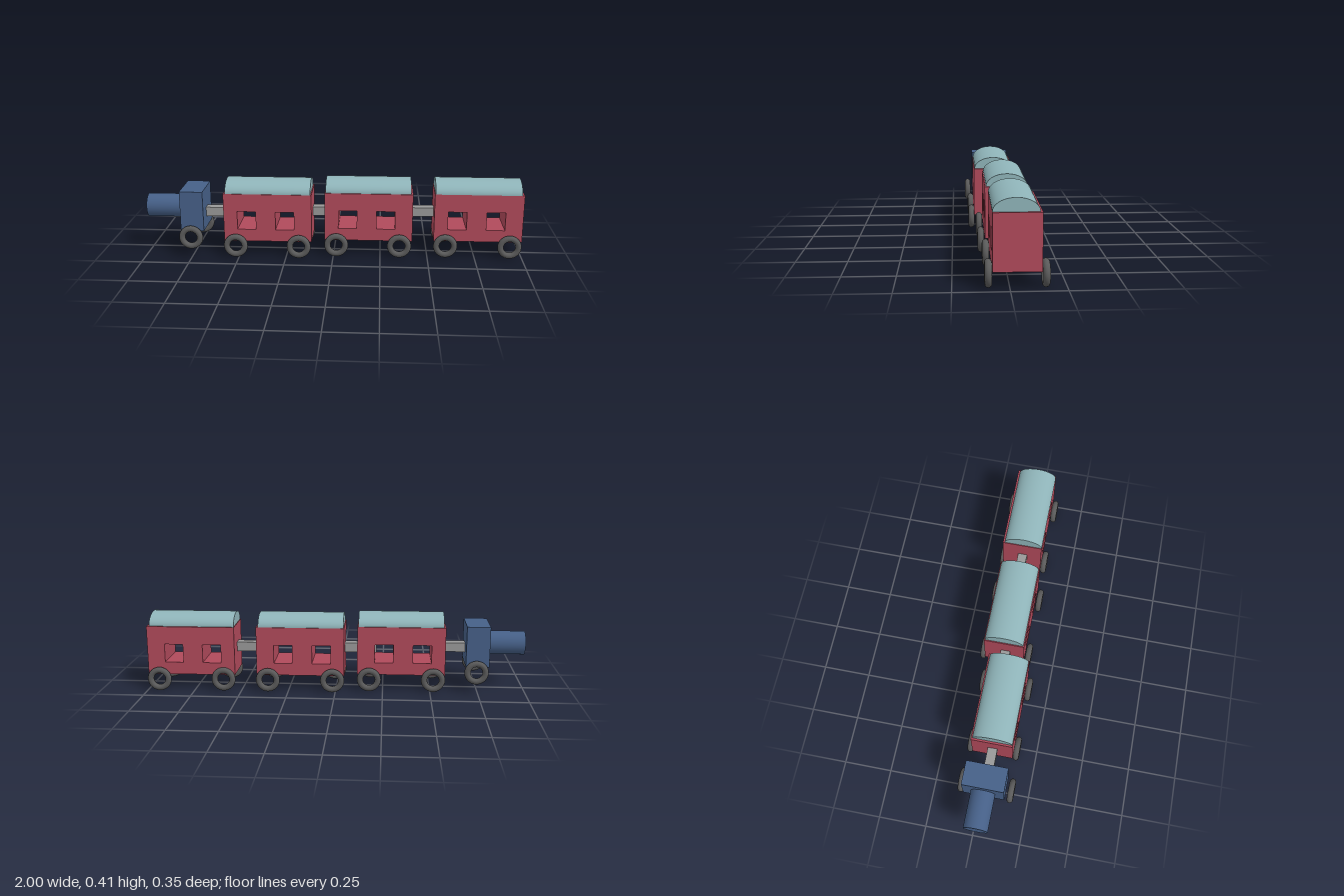
import * as THREE from 'three';

const material = (color) => new THREE.MeshStandardMaterial({ color });
const red = material(0xb04a5b);
const teal = material(0x8fb4b9);
const blue = material(0x466088);
const rubber = material(0x5a5a5a);
const steel = material(0x999999);

const BODY = { length: 0.465, width: 0.214, bottom: 0.085, top: 0.343 };

function addMesh(parent, name, geometry, mat, x, y, z) {
  const mesh = new THREE.Mesh(geometry, mat);
  mesh.name = name;
  mesh.position.set(x, y, z);
  parent.add(mesh);
}

// Rectangle outline shared by the wagon wall and its windows
function rectangle(target, x0, y0, x1, y1) {
  target.moveTo(x0, y0);
  target.lineTo(x1, y0);
  target.lineTo(x1, y1);
  target.lineTo(x0, y1);
  target.closePath();
  return target;
}

// Solid wagon block with two windows cut straight through
function bodyGeometry() {
  const half = BODY.length / 2;
  const shape = rectangle(new THREE.Shape(), -half, BODY.bottom, half, BODY.top);
  for (const x of [-0.111, 0.091]) {
    shape.holes.push(rectangle(new THREE.Path(), x - 0.049, 0.15, x + 0.049, 0.248));
  }
  const geometry = new THREE.ExtrudeGeometry(shape, { depth: BODY.width, bevelEnabled: false });
  return geometry.translate(0, 0, -BODY.width / 2);
}

// Half-elliptical roof running along x
function roofGeometry() {
  return new THREE.CylinderGeometry(1, 1, 0.449, 32, 1, false, 0, Math.PI)
    .rotateZ(Math.PI / 2)
    .scale(1, 0.062, 0.102);
}

export function createModel() {
  const train = new THREE.Group();
  train.name = 'toyTrain';
  const wheel = new THREE.TorusGeometry(0.0475, 0.016, 16, 32);
  const body = bodyGeometry();
  const roof = roofGeometry();

  // Locomotive
  const engine = new THREE.Group();
  engine.name = 'engine';
  train.add(engine);
  const boiler = new THREE.CylinderGeometry(0.0625, 0.0625, 0.22, 32).rotateZ(Math.PI / 2);
  addMesh(engine, 'boiler', boiler, blue, -0.89, 0.245, 0.024);
  addMesh(engine, 'cab', new THREE.BoxGeometry(0.123, 0.216, 0.215), blue, -0.748, 0.243, 0.024);
  addMesh(engine, 'leftWheel', wheel, rubber, -0.751, 0.11, 0.158);
  addMesh(engine, 'rightWheel', wheel, rubber, -0.742, 0.11, -0.102);

  // Wagons, set slightly out of line; wheels are [x, z]
  const wagons = [
    { x: -0.346, z: 0.023, roofX: -0.344, roofZ: 0.025,
      wheels: [[-0.516, 0.145], [-0.181, 0.145], [-0.516, -0.1], [-0.177, -0.106]] },
    { x: 0.186, z: -0.018, roofX: 0.183, roofZ: -0.019,
      wheels: [[0.016, 0.108], [0.35, 0.108], [0.016, -0.139], [0.357, -0.144]] },
    { x: 0.765, z: -0.03, roofX: 0.76, roofZ: -0.025,
      wheels: [[0.594, 0.093], [0.932, 0.093], [0.594, -0.143], [0.934, -0.157]] },
  ];
  for (const spec of wagons) {
    const wagon = new THREE.Group();
    wagon.name = 'wagon';
    train.add(wagon);
    addMesh(wagon, 'body', body, red, spec.x, 0, spec.z);
    addMesh(wagon, 'roof', roof, teal, spec.roofX, BODY.top, spec.roofZ);
    for (const [x, z] of spec.wheels) addMesh(wagon, 'wheel', wheel, rubber, x, 0.0635, z);
  }

  // Coupling bars: [start x, end x, z]
  for (const [x0, x1, z] of [[-0.72, -0.54, 0.027], [-0.215, -0.02, -0.01], [0.39, 0.56, -0.026]]) {
    addMesh(train, 'coupling', new THREE.BoxGeometry(x1 - x0, 0.049, 0.05), steel, (x0 + x1) / 2, 0.219, z);
  }
  return train;
}
